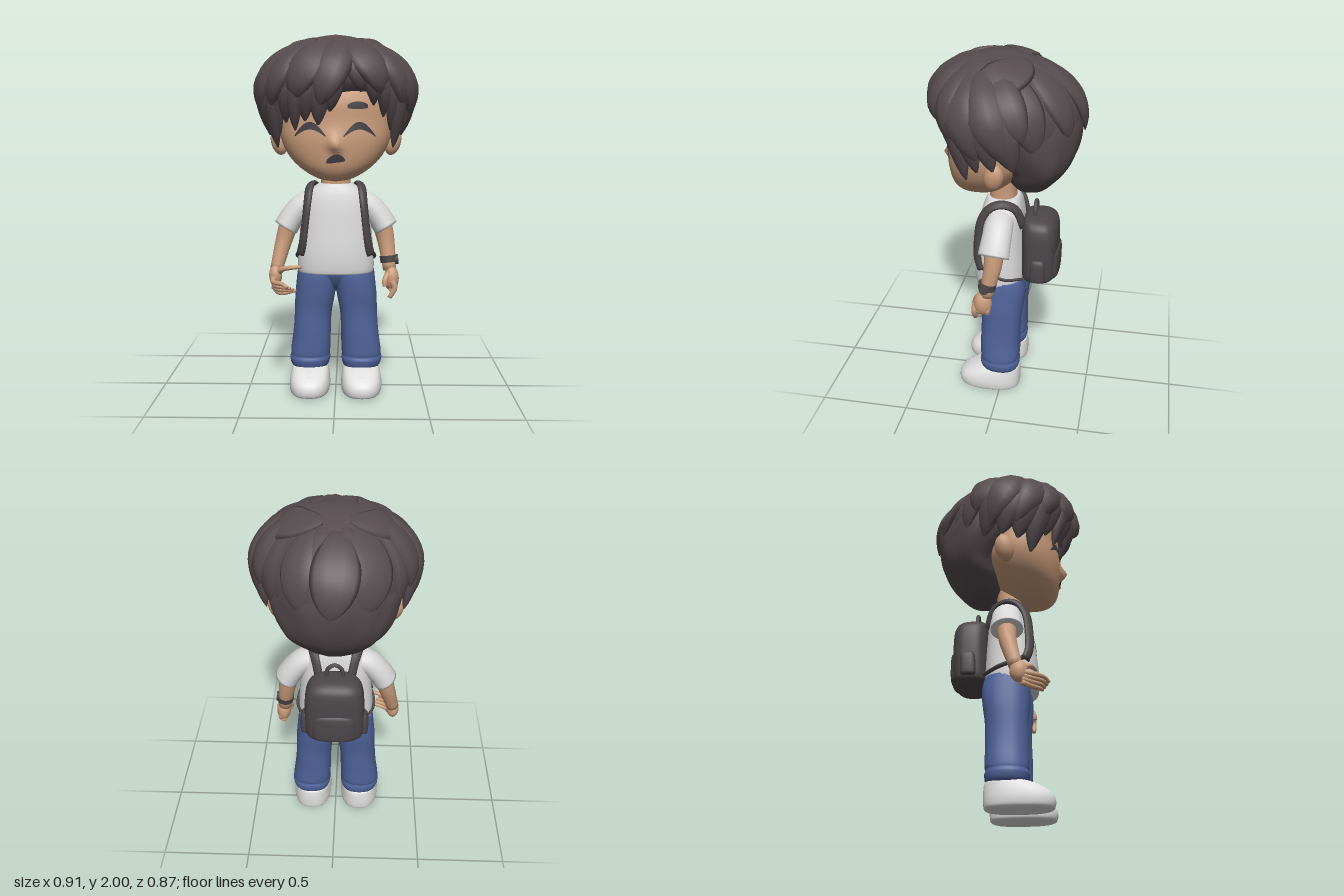
import * as THREE from 'three';

const V = (x, y, z) => new THREE.Vector3(x, y, z);
const mat = (name, color, side = THREE.FrontSide) => {
  const m = new THREE.MeshStandardMaterial({ color, side });
  m.name = name;
  return m;
};

// Closed smooth surface through rings of points (counter-clockwise about the path)
function skin(rings) {
  const n = rings[0].length, pos = [], idx = [];
  rings.forEach(r => r.forEach(p => pos.push(p.x, p.y, p.z)));
  for (let i = 0; i < rings.length - 1; i++) for (let j = 0; j < n; j++) {
    const a = i * n + j, b = i * n + (j + 1) % n;
    idx.push(a, b, a + n, b, b + n, a + n);
  }
  [0, rings.length - 1].forEach((k, end) => {
    const c = rings[k].reduce((s, p) => s.add(p), V(0, 0, 0)).divideScalar(n), ci = pos.length / 3;
    pos.push(c.x, c.y, c.z);
    for (let j = 0; j < n; j++) {
      const a = k * n + j, b = k * n + (j + 1) % n;
      end ? idx.push(ci, a, b) : idx.push(ci, b, a);
    }
  });
  const g = new THREE.BufferGeometry();
  g.setAttribute('position', new THREE.Float32BufferAttribute(pos, 3));
  g.setIndex(idx);
  g.computeVertexNormals();
  return g;
}

// Catmull-Rom densification of rows of numbers
function dense(rows, sub = 4) {
  const out = [], at = i => rows[Math.max(0, Math.min(rows.length - 1, i))];
  for (let i = 0; i < rows.length - 1; i++) for (let s = 0; s < sub; s++) {
    const t = s / sub;
    out.push(rows[i].map((b, k) => {
      const a = at(i - 1)[k], c = at(i + 1)[k], d = at(i + 2)[k];
      return b + 0.5 * t * (c - a + t * (2 * a - 5 * b + 4 * c - d + t * (3 * (b - c) + d - a)));
    }));
  }
  out.push(rows[rows.length - 1]);
  return out;
}

// Stack of superellipse sections: [y, half width, front z, back z, centre x]
function loft(rows, p = 2.3, n = 32, bump = () => 1) {
  const pw = v => Math.sign(v) * Math.abs(v) ** (2 / p);
  return skin(dense(rows).map(([y, rx, zf, zb, cx = 0]) => Array.from({ length: n }, (_, j) => {
    const a = j / n * Math.PI * 2, k = bump(a, y);
    return V(cx + rx * k * pw(Math.sin(a)), y, (zf + zb) / 2 + (zf - zb) / 2 * k * pw(Math.cos(a)));
  })));
}

// Sweep an ellipse along a curve, flat side facing away from the centre c
function sweep(pts, width, thick, c = V(0, 0, 0), steps = 14, n = 10) {
  const curve = new THREE.CatmullRomCurve3(pts.map(p => V(...p)));
  return skin(Array.from({ length: steps + 1 }, (_, i) => {
    const t = i / steps, p = curve.getPoint(t), T = curve.getTangent(t);
    const B = p.clone().sub(c).cross(T).normalize(), N = T.clone().cross(B);
    return Array.from({ length: n }, (_, j) => {
      const a = j / n * Math.PI * 2;
      return p.clone().addScaledVector(B, Math.cos(a) * width(t)).addScaledVector(N, Math.sin(a) * thick(t));
    });
  }));
}
const lerp = (a, b) => t => a + (b - a) * t;

const HEAD = [[1.215, 0.03, 0.2, 0.08], [1.23, 0.1, 0.245, 0.03], [1.28, 0.185, 0.283, -0.03], [1.35, 0.255, 0.3, -0.1],
  [1.44, 0.298, 0.308, -0.15], [1.54, 0.306, 0.3, -0.15], [1.65, 0.3, 0.295, -0.15], [1.76, 0.25, 0.25, -0.14], [1.84, 0.16, 0.15, -0.1]];
const headRows = dense(HEAD);
const nose = (x, y) => 0.042 * Math.exp(-((x / 0.03) ** 2) - ((y - 1.408) / (y > 1.408 ? 0.05 : 0.024)) ** 2);
function faceZ(x, y) {
  const i = Math.max(1, headRows.findIndex(r => r[0] >= y)), a = headRows[i - 1], b = headRows[i];
  const t = (y - a[0]) / (b[0] - a[0]), [, rx, zf, zb] = a.map((v, k) => v + (b[k] - v) * t);
  return (zf + zb) / 2 + (zf - zb) / 2 * (1 - Math.abs(x / rx) ** 2.3) ** (1 / 2.3) + nose(x, y);
}

// Thin painted band that hugs the face
function faceBand(x0, x1, yFn, hFn, n = 16) {
  const pos = [], idx = [];
  for (let i = 0; i <= n; i++) for (const s of [-1, 0, 1]) {
    const t = i / n, x = x0 + (x1 - x0) * t, y = yFn(t) + s * hFn(t) / 2;
    pos.push(x, y, faceZ(x, y) + 0.006);
  }
  for (let i = 0; i < n; i++) for (const k of [0, 1]) {
    const a = i * 3 + k;
    idx.push(a, a + 3, a + 1, a + 1, a + 3, a + 4);
  }
  const g = new THREE.BufferGeometry();
  g.setAttribute('position', new THREE.Float32BufferAttribute(pos, 3));
  g.setIndex(idx);
  g.computeVertexNormals();
  return g;
}

export function createModel() {
  const model = new THREE.Group();
  const hair = mat('hair', 0x564c4f), skinM = mat('skin', 0xc99c7b), cloth = mat('shirt', 0xd8d8d8), denim = mat('denim', 0x4f639a);
  const shoeM = mat('shoes', 0xe0dfdf), packM = mat('backpack', 0x4c4649), ink = mat('face features', 0x423d43, THREE.DoubleSide);
  const add = (name, geo, m) => {
    const mesh = new THREE.Mesh(geo, m);
    mesh.name = name;
    model.add(mesh);
    return mesh;
  };
  const ball = (name, p, s, m) => {
    const b = add(name, new THREE.SphereGeometry(1, 20, 14), m);
    b.position.set(...p);
    b.scale.set(...s);
    return b;
  };

  // Head, with the nose raised out of the face
  const headGeo = loft(HEAD, 2.3, 96), hp = headGeo.attributes.position;
  for (let i = 0; i < hp.count; i++) if (hp.getZ(i) > 0.2) hp.setZ(i, hp.getZ(i) + nose(hp.getX(i), hp.getY(i)));
  headGeo.computeVertexNormals();
  add('head', headGeo, skinM);
  add('neck', loft([[1.12, 0.09, 0.1, -0.07], [1.2, 0.083, 0.09, -0.06], [1.32, 0.085, 0.1, -0.07]]), skinM);
  for (const s of [-1, 1]) {
    ball('ear', [s * 0.318, 1.42, 0.008], [0.045, 0.078, 0.052], skinM).rotation.set(-0.2, 0, -s * 0.25);
    add('closedEye', faceBand(s * 0.13 - 0.083, s * 0.13 + 0.083, t => 1.46 + 0.055 * Math.sin(Math.PI * t),
      t => 0.008 + 0.032 * Math.sin(Math.PI * t)), ink);
    add('eyebrow', faceBand(s * 0.12 - 0.053, s * 0.12 + 0.053, t => 1.615 + 0.006 * Math.sin(Math.PI * t),
      t => 0.014 + 0.024 * Math.sin(Math.PI * t) ** 0.5), ink);
  }
  add('mouth', faceBand(-0.046, 0.054, t => 1.315 + 0.03 * Math.sin(Math.PI * (0.1 + t * 0.65)),
    t => 0.006 + 0.038 * Math.sin(Math.PI * t) ** 0.6), ink);

  // Hair mass, narrowed at the back corners, with soft waves
  const corner = a => Math.cos(a) < 0 ? Math.abs(Math.sin(2 * a)) : 0;
  add('hairCap', loft([[1.245, 0.05, -0.1, -0.2], [1.265, 0.13, -0.05, -0.24], [1.34, 0.225, -0.01, -0.31], [1.42, 0.28, 0.0, -0.36],
    [1.52, 0.325, 0.09, -0.4], [1.62, 0.35, 0.19, -0.415], [1.72, 0.36, 0.32, -0.4], [1.82, 0.335, 0.325, -0.345],
    [1.9, 0.265, 0.26, -0.255], [1.95, 0.19, 0.19, -0.165], [1.983, 0.11, 0.13, -0.07], [1.998, 0.02, 0.06, 0.02]], 2.1, 48,
    (a, y) => 1 + 0.014 * Math.sin(7 * a + 9 * y) + 0.01 * Math.sin(13 * a - 14 * y)
      - 0.07 * corner(a) * Math.min(1, Math.max(0, (y - 1.4) / 0.15))), hair);

  // Locks lying on the dome: [root angle, tip angle, root y, tip y, width, thickness, bulge, tip reach]
  const at = (deg, y, r) => {
    const a = deg * Math.PI / 180, f = Math.sqrt(1 - (Math.max(0, y - 1.66) / 0.335) ** 2) * (1 - 0.09 * corner(a));
    return [Math.sin(a) * 0.415 * r * f, y, Math.cos(a) * 0.4 * r * f];
  };
  const lock = ([a0, a1, y0, y1, w, th, out, tip]) => {
    const pts = [0, 0.17, 0.34, 0.5, 0.67, 0.84, 1].map(t => at(a0 + (a1 - a0) * t, y0 + (y1 - y0) * t ** 1.6,
      0.8 * (1 - t) ** 2 + 2 * t * (1 - t) * out + tip * t * t));
    const prof = t => Math.sin(Math.PI * (0.06 + 0.93 * t ** 1.3)) ** 0.7, vary = 1 + 0.15 * Math.sin(a0 * 3 + a1);
    add('hairLock', sweep(pts, t => w * vary * prof(t), t => th * prof(t), V(0, 1.6, 0), 18), hair);
  };
  // fringe, parted left of the middle
  [[2, -4, 1.9, 1.59], [-5, -14, 1.9, 1.52], [-14, -26, 1.9, 1.54], [-22, -36, 1.9, 1.49], [-34, -47, 1.89, 1.53], [-45, -56, 1.88, 1.47],
    [14, 23, 1.9, 1.69], [19, 35, 1.9, 1.62], [30, 46, 1.9, 1.56], [42, 56, 1.89, 1.49]]
    .forEach(l => lock([...l, 0.062, 0.04, 1.06, 0.85]));
  // heavy tufts over the fringe
  [[14, -11, 1.97, 1.62, 0.1], [-8, -32, 1.96, 1.65, 0.1], [-30, -56, 1.95, 1.6, 0.1], [18, 37, 1.96, 1.68, 0.1], [40, 60, 1.95, 1.6, 0.1]]
    .forEach(l => lock([...l, 0.05, 1.1, 0.97]));
  for (const s of [-1, 1]) {
    [ // temples and sideburns
      [50, 63, 1.88, 1.395, 0.07, 0.045, 1.06, 0.84], [58, 76, 1.87, 1.46, 0.08, 0.045, 1.07, 0.89],
      [66, 90, 1.87, 1.48, 0.085, 0.045, 1.06, 0.91], [80, 106, 1.87, 1.48, 0.085, 0.045, 1.05, 0.94],
      // side curls sweeping backwards
      [44, 78, 1.94, 1.54, 0.1, 0.052, 1.06, 0.98], [62, 100, 1.95, 1.53, 0.1, 0.052, 1.06, 0.98],
      [86, 112, 1.94, 1.64, 0.1, 0.042, 1.03, 1.05], [104, 124, 1.93, 1.56, 0.09, 0.03, 1.03, 1.0],
      // back
      [124, 138, 1.92, 1.52, 0.1, 0.025, 1.0, 0.97], [140, 156, 1.94, 1.6, 0.11, 0.03, 1.0, 1.05]
    ].forEach(([a, b, ...r]) => lock([s * a, s * b, ...r]));
  }
  [[160, 172, 1.95, 1.5, 0.1, 0.025, 1.0, 0.99], [186, 178, 1.94, 1.6, 0.11, 0.03, 1.0, 1.06], [200, 196, 1.95, 1.54, 0.1, 0.025, 1.0, 0.99],
    // broad waves over the crown
    [150, 60, 1.97, 1.86, 0.1, 0.022, 1.04, 0.97], [-140, -70, 1.97, 1.86, 0.1, 0.022, 1.04, 0.97], [90, 30, 1.97, 1.85, 0.11, 0.024, 1.04, 0.98],
    [-80, -20, 1.97, 1.85, 0.11, 0.024, 1.04, 0.98], [60, 2, 1.97, 1.86, 0.1, 0.024, 1.04, 0.98]].forEach(lock);

  // Shirt
  add('shirt', loft([[0.695, 0.2, 0.155, -0.115], [0.7, 0.215, 0.17, -0.125], [0.8, 0.213, 0.172, -0.125], [0.95, 0.2, 0.155, -0.115],
    [1.06, 0.188, 0.14, -0.105], [1.13, 0.162, 0.125, -0.095], [1.17, 0.12, 0.11, -0.085], [1.19, 0.09, 0.1, -0.075]], 2.5, 40), cloth);
  const side = s => p => [p[0] * s, p[1], p[2]];
  for (const s of [-1, 1]) {
    const m = side(s);
    add('sleeve', sweep([[0.09, 1.09, 0.01], [0.18, 1.065, 0.01], [0.25, 0.99, 0.015], [0.283, 0.935, 0.02]].map(m),
      lerp(0.075, 0.088), lerp(0.07, 0.07), V(0, 0.9, 0), 14, 20), cloth);
  }

  // Arms and hands
  const tube = (name, pts, r0, r1, m, c) => add(name, sweep(pts, lerp(r0, r1), lerp(r0, r1), c, 12, 14), m);
  tube('leftArm', [[0.25, 1.0, 0.015], [0.282, 0.87, 0.025], [0.305, 0.7, 0.06]], 0.06, 0.038, skinM);
  tube('rightArm', [[-0.25, 1.0, 0.015], [-0.292, 0.87, 0.025], [-0.335, 0.7, 0.07]], 0.06, 0.036, skinM);
  ball('leftPalm', [0.314, 0.655, 0.075], [0.042, 0.072, 0.052], skinM);
  ball('rightPalm', [-0.338, 0.672, 0.085], [0.037, 0.06, 0.047], skinM);
  for (let i = 0; i < 4; i++) {
    const z = 0.115 - i * 0.024;
    tube('leftFinger', [[0.315, 0.65, z], [0.33, 0.61, z + 0.006], [0.302, i ? 0.59 : 0.555, z + 0.006]], 0.019, 0.013, skinM);
    const y = 0.665 - i * 0.019;
    tube('rightFinger', [[-0.345, y, 0.1], [-0.345 + i * 0.01, y - 0.015, 0.16], [-0.29, y - 0.015, 0.215 - i * 0.01],
      [-0.215 - (3 - i) * 0.015, 0.612 + (3 - i) * 0.008, 0.235 - i * 0.012]], 0.017, 0.009, skinM);
  }
  tube('leftThumb', [[0.295, 0.69, 0.1], [0.275, 0.65, 0.125], [0.275, 0.62, 0.13]], 0.018, 0.012, skinM);
  tube('rightThumb', [[-0.325, 0.69, 0.09], [-0.285, 0.72, 0.135], [-0.19, 0.735, 0.165]], 0.02, 0.009, skinM);

  // Watch
  const band = add('watchBand', new THREE.CylinderGeometry(0.051, 0.048, 0.038, 24), packM);
  band.position.set(0.3, 0.762, 0.052);
  band.rotation.set(-0.15, 0, 0.1);
  const dial = add('watchDial', new THREE.CylinderGeometry(0.026, 0.028, 0.02, 20), packM);
  dial.position.set(0.342, 0.762, 0.06);
  dial.rotation.set(0, 0, Math.PI / 2 + 0.1);

  // Trousers and shoes
  add('hips', loft([[0.57, 0.02, 0.03, -0.04], [0.6, 0.06, 0.075, -0.08], [0.65, 0.13, 0.108, -0.112], [0.69, 0.19, 0.122, -0.122],
    [0.74, 0.2, 0.125, -0.11]], 2.6), denim);
  for (const s of [-1, 1]) {
    add('trouserLeg', loft([[0.13, 0.098, 0.11, -0.095, s * 0.146], [0.15, 0.11, 0.12, -0.105, s * 0.148], [0.18, 0.115, 0.127, -0.108, s * 0.148],
      [0.2, 0.111, 0.12, -0.102, s * 0.147], [0.225, 0.112, 0.124, -0.108, s * 0.146], [0.32, 0.109, 0.122, -0.105, s * 0.138],
      [0.45, 0.106, 0.12, -0.11, s * 0.13], [0.56, 0.114, 0.128, -0.124, s * 0.118], [0.66, 0.116, 0.13, -0.128, s * 0.107],
      [0.72, 0.11, 0.125, -0.115, s * 0.103]], 2.4, 28, (a, y) => 1 + 0.01 * Math.sin(2 * a + 22 * y)), denim);
    add('shoe', loft([[0, 0.09, 0.225, -0.09, s * 0.147], [0.01, 0.11, 0.247, -0.108, s * 0.147], [0.045, 0.116, 0.254, -0.112, s * 0.147],
      [0.08, 0.113, 0.24, -0.112, s * 0.147], [0.11, 0.107, 0.2, -0.11, s * 0.146], [0.135, 0.098, 0.145, -0.105, s * 0.146],
      [0.148, 0.08, 0.1, -0.09, s * 0.146]], 2.5), shoeM);
    for (let i = 0; i < 3; i++) {
      const z = 0.14 + i * 0.025, y = 0.132 - i * 0.012;
      tube('shoelace', [[s * 0.147 - 0.04, y - 0.01, z], [s * 0.147, y, z + 0.006], [s * 0.147 + 0.04, y - 0.01, z]], 0.006, 0.006, shoeM);
    }
  }

  // Backpack
  add('backpack', loft([[0.7, 0.11, -0.13, -0.25], [0.715, 0.145, -0.105, -0.285], [0.76, 0.163, -0.098, -0.3], [0.93, 0.165, -0.098, -0.302],
    [1.02, 0.155, -0.1, -0.297], [1.06, 0.135, -0.105, -0.28], [1.082, 0.1, -0.115, -0.25], [1.09, 0.05, -0.14, -0.22]], 3.1, 40), packM);
  add('frontPocket', loft([[0.725, 0.1, -0.2, -0.295], [0.745, 0.122, -0.2, -0.312], [0.86, 0.12, -0.2, -0.315], [0.895, 0.1, -0.2, -0.308],
    [0.905, 0.06, -0.2, -0.295]], 3.2), packM);
  tube('topHandle', [[-0.045, 1.07, -0.17], [-0.04, 1.13, -0.17], [0, 1.16, -0.17], [0.04, 1.13, -0.17], [0.045, 1.07, -0.17]], 0.011, 0.011, packM, V(0, 1.08, 0));
  for (const s of [-1, 1]) {
    const m = side(s);
    add('sidePocket', loft([[0.735, 0.018, -0.17, -0.235, s * 0.16], [0.75, 0.027, -0.16, -0.245, s * 0.162], [0.84, 0.026, -0.165, -0.245, s * 0.163],
      [0.87, 0.015, -0.175, -0.235, s * 0.16]], 3, 20), packM);
    add('shoulderStrap', sweep([[0.09, 1.04, -0.11], [0.115, 1.15, -0.07], [0.135, 1.182, 0.0], [0.147, 1.16, 0.065], [0.155, 1.09, 0.112],
      [0.168, 0.97, 0.13], [0.182, 0.86, 0.13], [0.195, 0.8, 0.11]].map(m), () => 0.028, () => 0.016, V(0, 0.95, 0), 28), packM);
    add('lowerStrap', sweep([[0.193, 0.815, 0.11], [0.216, 0.785, 0.05], [0.215, 0.755, -0.03], [0.15, 0.735, -0.12]].map(m),
      lerp(0.014, 0.011), () => 0.008, V(0, 0.95, 0), 14), packM);
  }
  return model;
}
